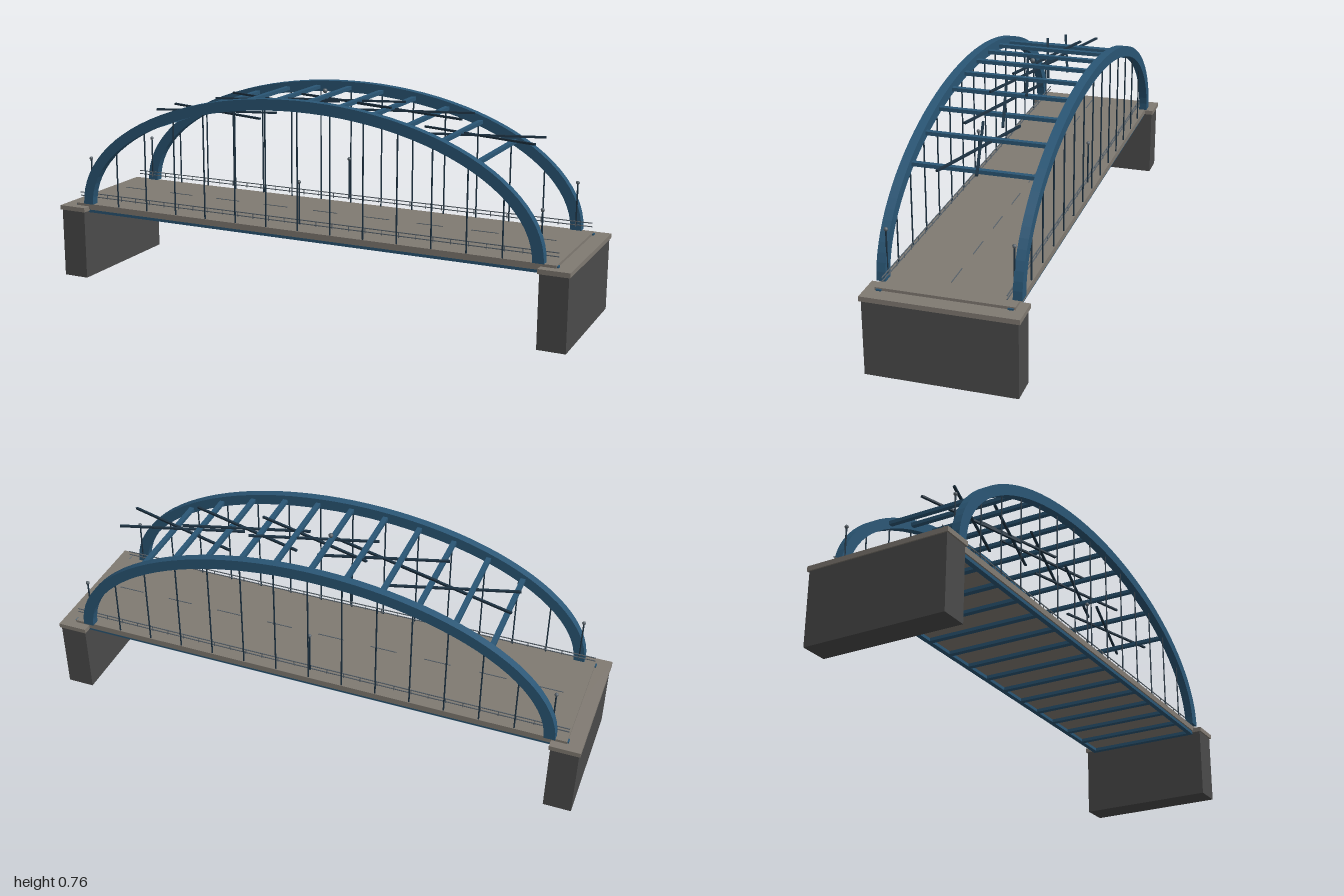
import * as THREE from 'three';

const mat = (name, color) => {
  const m = new THREE.MeshStandardMaterial({ color });
  m.name = name;
  return m;
};

export function createModel() {
  const bridge = new THREE.Group();
  bridge.name = 'archBridge';
  const steel = mat('blueSteel', 0x2a5675);
  const darkSteel = mat('darkSteel', 0x1d3242);
  const abutmentGrey = mat('darkConcrete', 0x4a4a4a);
  const deckGrey = mat('paleConcrete', 0x807a72);
  const railGrey = mat('railGrey', 0x59636b);

  const add = (name, geometry, material, x, y, z) => {
    const mesh = new THREE.Mesh(geometry, material);
    mesh.name = name;
    mesh.position.set(x, y, z);
    bridge.add(mesh);
    return mesh;
  };
  const box = (name, m, w, h, d, x, y, z) => add(name, new THREE.BoxGeometry(w, h, d), m, x, y, z);
  const rod = (name, m, r, y0, y1, x, z) =>
    add(name, new THREE.CylinderGeometry(r, r, y1 - y0, 6), m, x, (y0 + y1) / 2, z);

  // Arch centre line
  const SPRING = 0.29, HALF = 0.885, RISE = 0.447;
  const archY = (x) => SPRING + RISE * Math.sqrt(Math.max(0, 1 - (x / HALF) ** 2));

  // Abutments and their caps
  for (const s of [-1, 1]) {
    box('abutment', abutmentGrey, 0.1, 0.262, 0.512, s * 0.945, 0.131, 0);
    box('abutmentCap', deckGrey, 0.11, 0.017, 0.524, s * 0.945, 0.27, 0);
  }

  // Deck with floor beams underneath
  box('deck', deckGrey, 1.89, 0.022, 0.46, 0, 0.277, 0);
  for (let k = -7; k <= 7; k++) {
    box('floorBeam', steel, 0.02, 0.014, 0.42, k * 0.1264, 0.261, 0);
  }

  // Centre line dashes
  for (let k = -4; k <= 4; k++) {
    box('laneDash', railGrey, 0.1, 0.002, 0.003, k * 0.2065, 0.305, 0);
  }

  // Arch rib outline: outer curve out, inner curve back
  const rib = new THREE.Shape();
  const N = 48;
  for (let i = 0; i <= N; i++) {
    const a = (i / N) * Math.PI;
    const x = (HALF + 0.02) * Math.cos(a), y = SPRING + (RISE + 0.021) * Math.sin(a);
    if (i) rib.lineTo(x, y);
    else rib.moveTo(x, y);
  }
  for (let i = N; i >= 0; i--) {
    const a = (i / N) * Math.PI;
    rib.lineTo((HALF - 0.02) * Math.cos(a), SPRING + (RISE - 0.019) * Math.sin(a));
  }
  const ribGeometry = new THREE.ExtrudeGeometry(rib, { depth: 0.031, bevelEnabled: false });
  ribGeometry.translate(0, 0, -0.0155);

  for (const s of [-1, 1]) {
    add('archRib', ribGeometry, steel, 0, 0, s * 0.2245);
    box('tieGirder', steel, 1.9, 0.03, 0.018, 0, 0.269, s * 0.216);

    // Hangers
    for (let k = -6; k <= 6; k++) {
      const x = k * 0.1264;
      rod('hanger', darkSteel, 0.0028, 0.285, archY(x) - 0.01, x, s * 0.2245);
    }

    // Handrails and short posts
    for (const y of [0.311, 0.324]) {
      box('handrail', railGrey, 1.89, 0.003, 0.003, 0, y, s * 0.204);
    }
    for (let k = -14; k <= 14; k++) {
      rod('railPost', railGrey, 0.0015, 0.305, 0.325, k * 0.0632, s * 0.204);
    }

    // Lamps at the feet and midspan
    for (const x of [-HALF, 0, HALF]) {
      rod('lampPost', darkSteel, 0.003, 0.31, 0.46, x, s * 0.209);
      add('lampBall', new THREE.SphereGeometry(0.007, 8, 6), railGrey, x, 0.463, s * 0.209);
    }
  }

  // Struts between the ribs
  for (let k = -5; k <= 5; k++) {
    const x = k * 0.13;
    box('crossStrut', steel, 0.018, 0.013, 0.43, x, archY(x) - 0.002, 0);
  }

  // Level X bracing
  for (const [x, y] of [[-0.455, 0.645], [-0.195, 0.708], [0.065, 0.727], [0.325, 0.708], [0.585, 0.645]]) {
    for (const s of [-1, 1]) {
      box('diagonalBrace', darkSteel, 0.463, 0.007, 0.009, x, y, 0).rotation.y = s * 0.284;
    }
  }

  // Beacon at the crown
  add('beacon', new THREE.SphereGeometry(0.009, 8, 6), railGrey, 0, 0.756, 0);

  return bridge;
}
